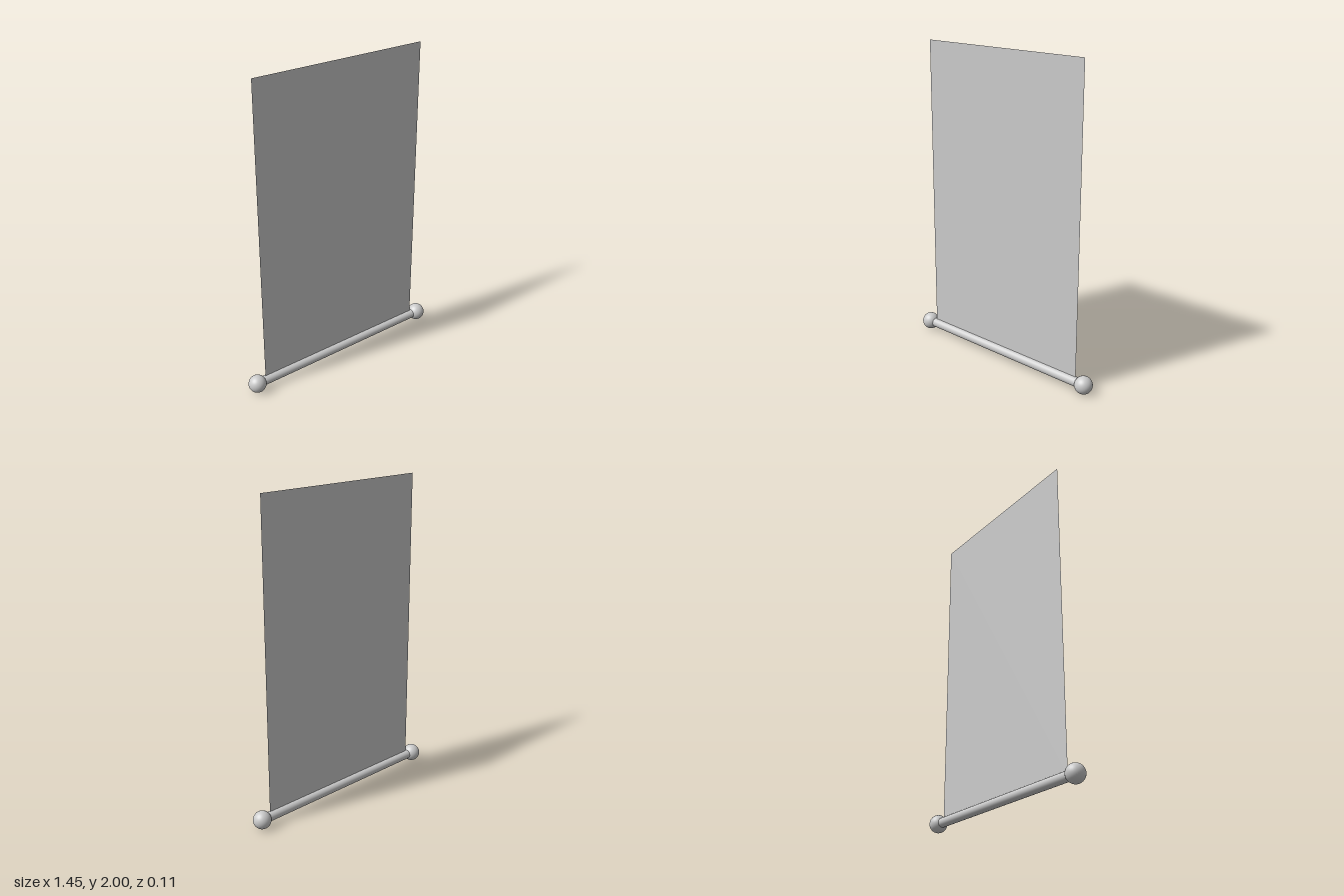
import * as THREE from 'three';

export function createModel() {
  const model = new THREE.Group();
  model.name = 'hangingBanner';
  const material = new THREE.MeshStandardMaterial({ color: 0xcccccc });
  const clothMaterial = new THREE.MeshStandardMaterial({ color: 0xcccccc, side: THREE.DoubleSide });

  const knobRadius = 0.056;
  const rodY = knobRadius;

  const add = (name, geometry, mat, x, y) => {
    const mesh = new THREE.Mesh(geometry, mat);
    mesh.name = name;
    mesh.position.set(x, y, 0);
    model.add(mesh);
    return mesh;
  };

  // Flat cloth sheet, rising from the rod's axis
  add('cloth', new THREE.PlaneGeometry(1.214, 2 - rodY), clothMaterial, 0, (2 + rodY) / 2);

  // Weighted rod along the bottom edge
  const rod = add('bottomRod', new THREE.CylinderGeometry(0.03, 0.03, 1.28, 32), material, 0, rodY);
  rod.rotation.z = Math.PI / 2;

  // Round knobs capping the rod
  const knob = new THREE.SphereGeometry(knobRadius, 32, 24);
  for (const [name, side] of [['leftKnob', 1], ['rightKnob', -1]]) {
    add(name, knob, material, side * 0.668, rodY);
  }

  return model;
}
